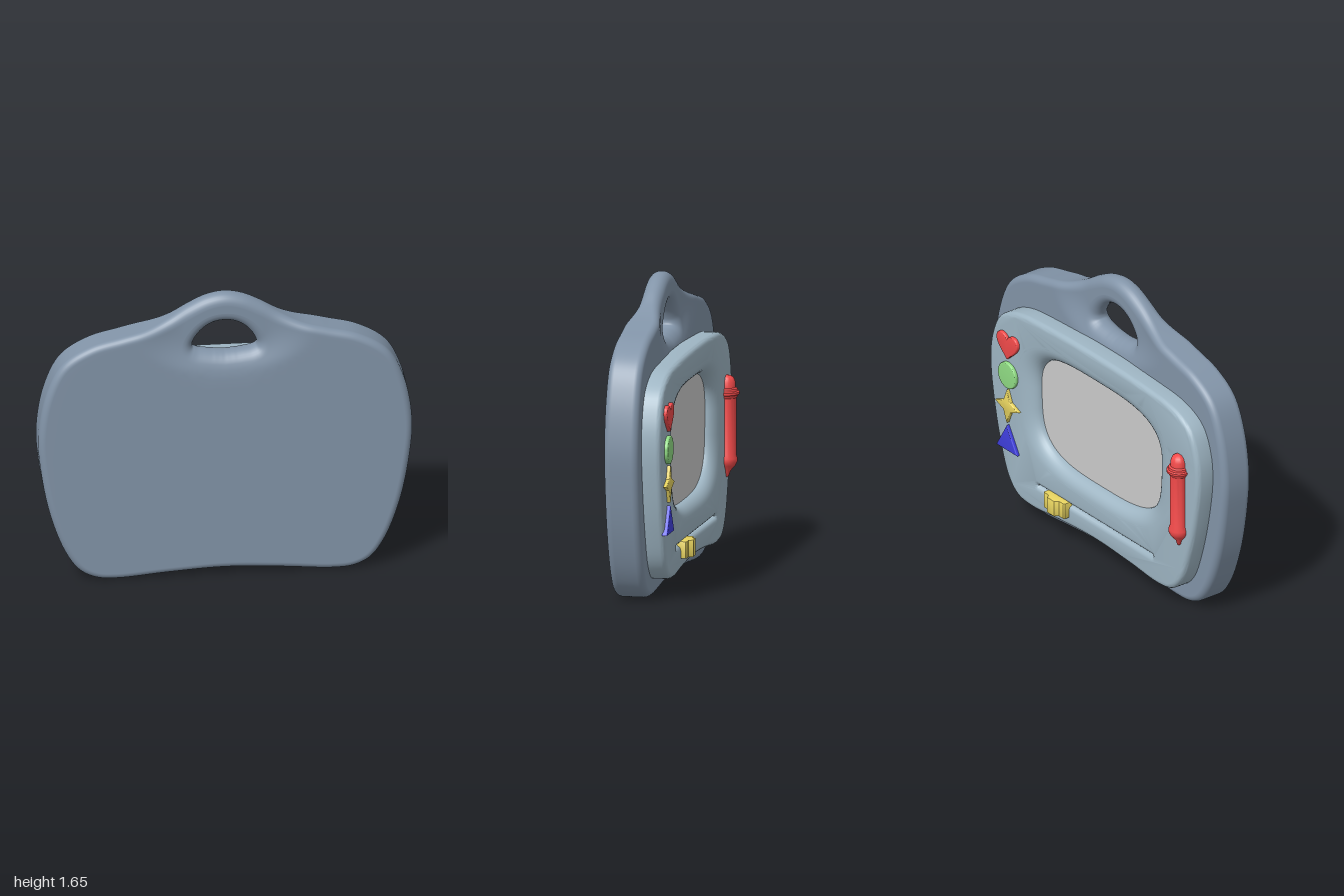
import * as THREE from 'three';
import { toCreasedNormals } from 'three/addons/utils/BufferGeometryUtils.js';

const smooth = THREE.MathUtils.smoothstep;
const lerp = THREE.MathUtils.lerp;

function add(parent, name, geometry, color, side = THREE.FrontSide) {
  const mesh = new THREE.Mesh(geometry, new THREE.MeshStandardMaterial({ color, side }));
  mesh.name = name;
  parent.add(mesh);
  return mesh;
}

// Mirrors a half outline running from top centre to bottom centre
function mirrored(half) {
  return [...half, ...half.slice(1, -1).reverse().map(([x, y]) => [-x, y])];
}

function closedCurve(points) {
  return new THREE.CatmullRomCurve3(points.map(([x, y]) => new THREE.Vector3(x, y, 0)), true);
}

// Surface from closed rings of equal length; closeV also joins the loop of each section
function skin(sections, closeV) {
  const n = sections.length, m = sections[0].length, index = [];
  for (let i = 0; i < n; i++) {
    for (let j = 0; j < (closeV ? m : m - 1); j++) {
      const i2 = (i + 1) % n, j2 = (j + 1) % m;
      const a = i * m + j, b = i2 * m + j, c = i2 * m + j2, d = i * m + j2;
      index.push(a, b, c, a, c, d);
    }
  }
  const g = new THREE.BufferGeometry();
  g.setAttribute('position', new THREE.Float32BufferAttribute(sections.flat(2), 3));
  g.setIndex(index);
  g.computeVertexNormals();
  return g;
}

// Slab with a grip hole: each section runs from the hole to the rim and back
function slabGeometry() {
  const outer = closedCurve(mirrored([
    [0, 1.65], [0.1, 1.632], [0.2, 1.583], [0.3, 1.52], [0.4, 1.475], [0.55, 1.435],
    [0.72, 1.388], [0.87, 1.29], [0.955, 1.12], [0.998, 0.87], [0.983, 0.65], [0.93, 0.38],
    [0.85, 0.165], [0.775, 0.06], [0.69, 0.015], [0.58, 0.004], [0.3, 0.025], [0, 0.04]]));
  const inner = closedCurve(mirrored([
    [0, 1.49], [0.06, 1.48], [0.11, 1.45], [0.15, 1.405], [0.17, 1.365], [0.172, 1.35],
    [0.168, 1.336], [0.155, 1.328], [0.14, 1.322], [0.12, 1.318], [0.1, 1.315], [0.08, 1.312],
    [0.065, 1.31], [0.05, 1.309], [0.04, 1.308], [0.03, 1.307], [0.015, 1.306], [0, 1.305]]));
  const bodyness = (x, y) => smooth(Math.hypot(x, (y - 1.45) * (y < 1.45 ? 1.8 : 1.2)), 0.22, 0.48);
  const thick = (x, y) => lerp(0.058, 0.094, bodyness(x, y));
  const N = 272, ARC = 7, FLAT = 14, sections = [];
  for (let i = 0; i < N; i++) {
    const u = i / N;
    const O = outer.getPoint(u), I = inner.getPoint(u);
    const to = outer.getTangent(u), ti = inner.getTangent(u);
    const rO = lerp(0.056, 0.038, bodyness(O.x, O.y)), rI = 0.055;
    const face = [];
    const atIn = e => [I.x - ti.y * e, I.y + ti.x * e];
    const atOut = e => [O.x + to.y * e, O.y - to.x * e];
    const arc = (at, r, k) => {
      const a = k / ARC * Math.PI / 2;
      const [x, y] = at(r * (1 - Math.cos(a)));
      return [x, y, thick(x, y) - r + r * Math.sin(a)];
    };
    for (let k = 0; k <= ARC; k++) face.push(arc(atIn, rI, k));
    const p = atIn(rI), q = atOut(rO);
    for (let k = 1; k < FLAT; k++) {
      const t = Math.pow(k / FLAT, 1.4);
      const x = lerp(p[0], q[0], t), y = lerp(p[1], q[1], t);
      face.push([x, y, thick(x, y)]);
    }
    for (let k = ARC; k >= 0; k--) face.push(arc(atOut, rO, k));
    const back = face.slice().reverse().map(([x, y, z]) => [x, y, -z]);
    sections.push([...face, ...back].map(([x, y, z]) => [x, y, z + 0.085]));
  }
  return skin(sections, true);
}

// Rounded window contour, a little wider at the top
function windowPoints(sx, sy) {
  return Array.from({ length: 96 }, (_, i) => {
    const a = i / 96 * Math.PI * 2, c = Math.cos(a), s = Math.sin(a);
    const y = sy * Math.sign(s) * Math.abs(s) ** 0.6;
    const x = sx * Math.sign(c) * Math.abs(c) ** 0.6 * (1 + 0.1 * y);
    return new THREE.Vector2(x, y + 0.745);
  });
}

function extrude(shape, depth, bevel, steps = 3) {
  return toCreasedNormals(new THREE.ExtrudeGeometry(shape, {
    depth: depth - 2 * bevel, bevelEnabled: bevel > 0, bevelThickness: bevel, bevelSize: bevel,
    bevelOffset: -bevel, bevelSegments: steps, curveSegments: 24,
  }).translate(0, 0, bevel), 0.6);
}

const polygon = points => new THREE.Shape(points.map(([x, y]) => new THREE.Vector2(x, y)));

export function createModel() {
  const model = new THREE.Group();
  model.name = 'drawingBoard';
  const BODY = 0x8294a8, FRAME = 0x9fb6c4, RED = 0xf24a4a, YELLOW = 0xe8d460;

  add(model, 'bodyWithHandle', slabGeometry(), BODY);

  // Raised frame with a window and a slider groove
  const rim = closedCurve(mirrored([
    [0, 1.248], [0.4, 1.24], [0.68, 1.21], [0.82, 1.135], [0.885, 1.0], [0.902, 0.85], [0.873, 0.62],
    [0.815, 0.38], [0.745, 0.2], [0.665, 0.12], [0.55, 0.098], [0.3, 0.118], [0, 0.133]]));
  const frame = new THREE.Shape(rim.getPoints(120).slice(0, -1).map(p => new THREE.Vector2(p.x, p.y)));
  frame.holes.push(new THREE.Path(windowPoints(0.62, 0.36)));
  const groove = new THREE.Path();
  groove.absarc(0.48, 0.25, 0.004, -Math.PI / 2, Math.PI / 2, false);
  groove.absarc(-0.5, 0.25, 0.004, Math.PI / 2, Math.PI * 1.5, false);
  frame.holes.push(groove);
  add(model, 'frame', extrude(frame, 0.13, 0.028, 5), FRAME).position.z = -0.111;

  // Rounded slope from the frame face down to the screen
  const rings = Array.from({ length: 9 }, (_, k) => {
    const a = k / 8 * Math.PI / 2, s = Math.sin(a);
    const z = -0.04 - 0.0715 * Math.cos(a);
    return windowPoints(0.655 - 0.125 * s, 0.395 - 0.075 * s).map(p => [p.x, p.y, z]);
  });
  const slope = rings[0].map((_, i) => rings.map(r => r[i]));
  add(model, 'windowSlope', skin(slope, false), FRAME, THREE.DoubleSide);
  const screen = new THREE.ShapeGeometry(new THREE.Shape(windowPoints(0.54, 0.33)));
  add(model, 'screen', screen.rotateY(Math.PI), 0xcccccc).position.z = -0.041;

  // Pen
  const profile = [[0, 0.42], [0.01, 0.428], [0.018, 0.455], [0.045, 0.485], [0.055, 0.505], [0.056, 0.525],
    [0.049, 0.545], [0.049, 0.85], [0.056, 0.858], [0.058, 0.866], [0.066, 0.87], [0.067, 0.883],
    [0.058, 0.888], [0.056, 0.9], [0.046, 0.906], [0.045, 0.935], [0.036, 0.958], [0.02, 0.969], [0, 0.972]];
  const pen = new THREE.LatheGeometry(profile.map(([x, y]) => new THREE.Vector2(x, y)), 32);
  add(model, 'pen', toCreasedNormals(pen, 0.7), RED).position.set(-0.745, 0, -0.115);

  // Slider with a raised middle
  const slider = polygon([[-0.09, 0.02], [-0.09, -0.028], [-0.083, -0.034], [-0.045, -0.034], [-0.03, -0.056],
    [0.03, -0.056], [0.045, -0.034], [0.083, -0.034], [0.09, -0.028], [0.09, 0.02]]);
  add(model, 'slider', extrude(slider, 0.092, 0.004, 2).rotateX(Math.PI / 2), YELLOW)
    .position.set(0.3, 0.268, -0.11);

  // Column of stamps
  const heart = new THREE.Shape();
  heart.moveTo(0, -0.075);
  heart.bezierCurveTo(0.03, -0.045, 0.092, -0.005, 0.09, 0.035);
  heart.bezierCurveTo(0.085, 0.085, 0.02, 0.085, 0, 0.045);
  heart.bezierCurveTo(-0.02, 0.085, -0.085, 0.085, -0.09, 0.035);
  heart.bezierCurveTo(-0.092, -0.005, -0.03, -0.045, 0, -0.075);
  const disc = new THREE.Shape().absarc(0, 0, 0.076, 0, Math.PI * 2, false);
  const star = polygon(Array.from({ length: 8 }, (_, i) => {
    const a = i * Math.PI / 4, r = i % 2 ? 0.042 : 0.1;
    return [r * Math.sin(a), r * Math.cos(a)];
  }));
  const triangle = polygon([[0, 0.075], [-0.09, -0.075], [0.09, -0.075]]);
  const stamps = [['heartStamp', heart, 0.993, RED], ['roundStamp', disc, 0.82, 0x90dc84],
    ['starStamp', star, 0.635, YELLOW], ['triangleStamp', triangle, 0.445, 0x4040e0]];
  for (const [name, shape, y, color] of stamps) {
    add(model, name, extrude(shape, 0.03, 0.006), color).position.set(0.725, y, -0.13);
  }
  return model;
}
